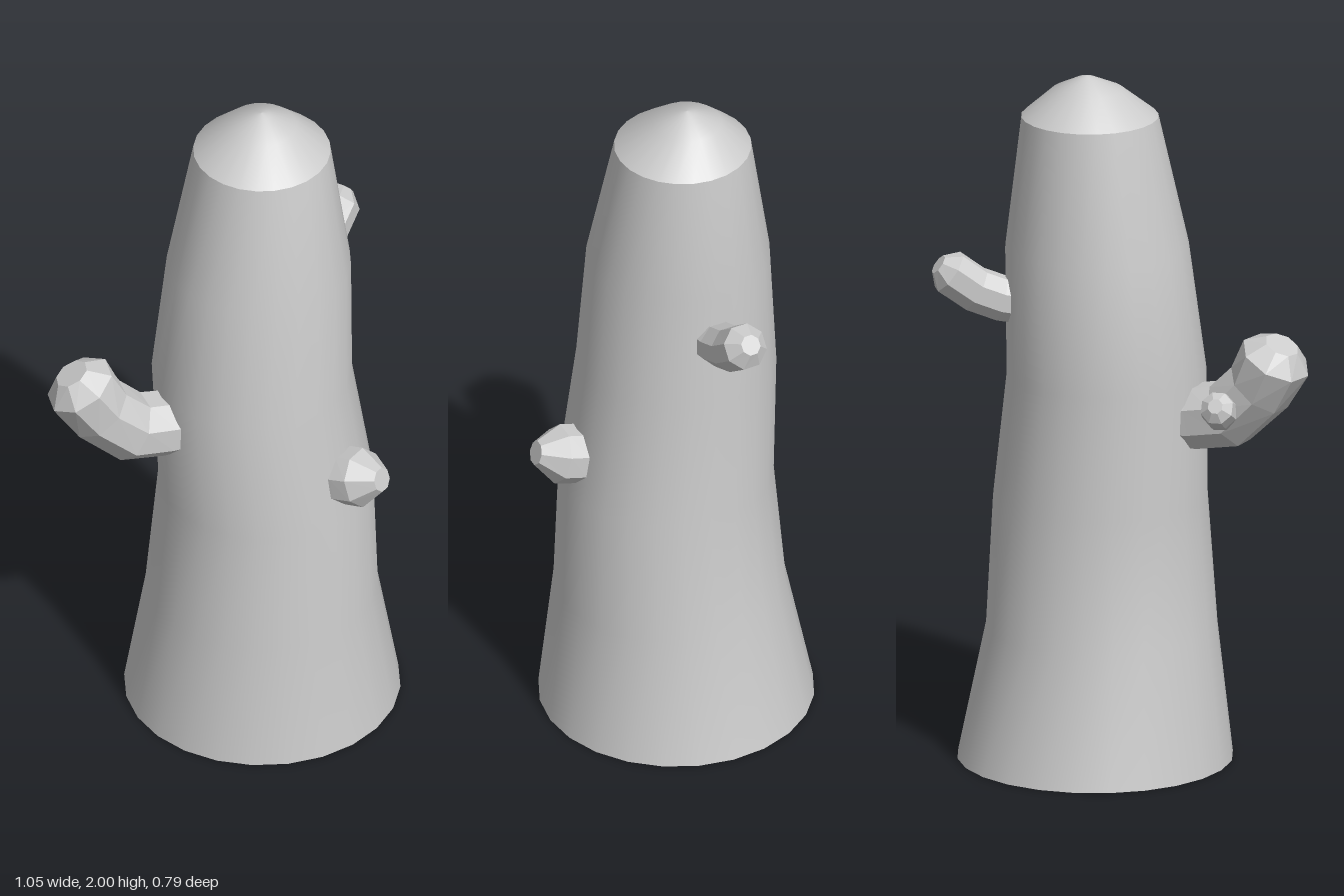
import * as THREE from 'three';

const V = (x, y, z) => new THREE.Vector3(x, y, z);

// Skin round cross-sections [x, y, z, radius]; level keeps every ring horizontal.
function loft(rings, sides, level = false, turn = 0, closeStart = false, closeEnd = false) {
  const centres = rings.map(([x, y, z]) => V(x, y, z));
  const pos = [], idx = [];
  rings.forEach((ring, i) => {
    const before = centres[Math.max(i - 1, 0)], after = centres[Math.min(i + 1, rings.length - 1)];
    const t = level ? V(0, 1, 0) : after.clone().sub(before).normalize();
    const u = level ? V(0, 0, -1) : t.clone().cross(V(0, 1, 0)).normalize();
    const v = t.clone().cross(u);
    for (let s = 0; s < sides; s++) {
      const a = ((s + turn) / sides) * Math.PI * 2;
      const p = centres[i].clone().addScaledVector(u, Math.cos(a) * ring[3]).addScaledVector(v, Math.sin(a) * ring[3]);
      pos.push(p.x, p.y, p.z);
    }
  });
  for (let i = 0; i < rings.length - 1; i++) {
    for (let s = 0; s < sides; s++) {
      const a = i * sides + s, b = i * sides + ((s + 1) % sides);
      idx.push(a, b, b + sides, a, b + sides, a + sides);
    }
  }
  const last = (rings.length - 1) * sides;
  for (let s = 1; s < sides - 1; s++) {
    if (closeStart) idx.push(0, s + 1, s);
    if (closeEnd) idx.push(last, last + s, last + s + 1);
  }
  const g = new THREE.BufferGeometry();
  g.setAttribute('position', new THREE.Float32BufferAttribute(pos, 3));
  g.setIndex(idx);
  g.computeVertexNormals();
  return g;
}

export function createModel() {
  const model = new THREE.Group();
  const smooth = new THREE.MeshStandardMaterial({ color: 0xcccccc });
  const faceted = new THREE.MeshStandardMaterial({ color: 0xcccccc, flatShading: true });
  const add = (name, geometry, material) => {
    const mesh = new THREE.Mesh(geometry, material);
    mesh.name = name;
    model.add(mesh);
    return mesh;
  };

  // Gently wavering, tapered trunk
  add('trunk', loft([
    [0.124, 0, -0.003, 0.39],
    [0.113, 0.38, 0.017, 0.328],
    [0.121, 0.76, 0.026, 0.304],
    [0.09, 1.13, 0, 0.283],
    [0.116, 1.5, -0.008, 0.26],
    [0.132, 1.88, -0.022, 0.194],
  ], 24, true), smooth);

  // Rounded top, separate so the rim stays sharp
  add('trunkTop', loft([
    [0.132, 1.88, -0.022, 0.194],
    [0.134, 1.96, -0.032, 0.1],
    [0.137, 1.994, -0.034, 0.025],
    [0.137, 2, -0.034, 0.002],
  ], 24, true, 0, false, true), smooth);

  // Flat underside
  const base = add('trunkBase', new THREE.CircleGeometry(0.39, 24), smooth);
  base.rotation.x = Math.PI / 2;
  base.position.set(0.124, 0, -0.003);

  // Low-poly branches with blunt, domed ends
  const branches = {
    rightBranch: [
      [-0.1, 1.02, 0.005, 0.09], [-0.19, 1.03, 0.004, 0.095], [-0.29, 1.05, 0, 0.1],
      [-0.385, 1.14, -0.008, 0.098], [-0.44, 1.235, -0.018, 0.104], [-0.462, 1.278, -0.025, 0.05],
    ],
    rightBranchTwig: [
      [-0.285, 1.05, -0.03, 0.05], [-0.305, 1.085, -0.105, 0.052], [-0.312, 1.105, -0.14, 0.048],
      [-0.315, 1.115, -0.158, 0.022],
    ],
    leftBranch: [
      [0.25, 1.33, -0.085, 0.066], [0.35, 1.353, -0.15, 0.066], [0.41, 1.382, -0.19, 0.066],
      [0.472, 1.437, -0.232, 0.066], [0.497, 1.46, -0.25, 0.03],
    ],
    frontStub: [
      [0.2, 0.86, 0.19, 0.075], [0.255, 0.88, 0.27, 0.085], [0.283, 0.895, 0.318, 0.085],
      [0.315, 0.917, 0.376, 0.035],
    ],
  };
  for (const [name, path] of Object.entries(branches)) {
    add(name, loft(path, 8, false, 0.5, true, true), faceted);
  }
  return model;
}
